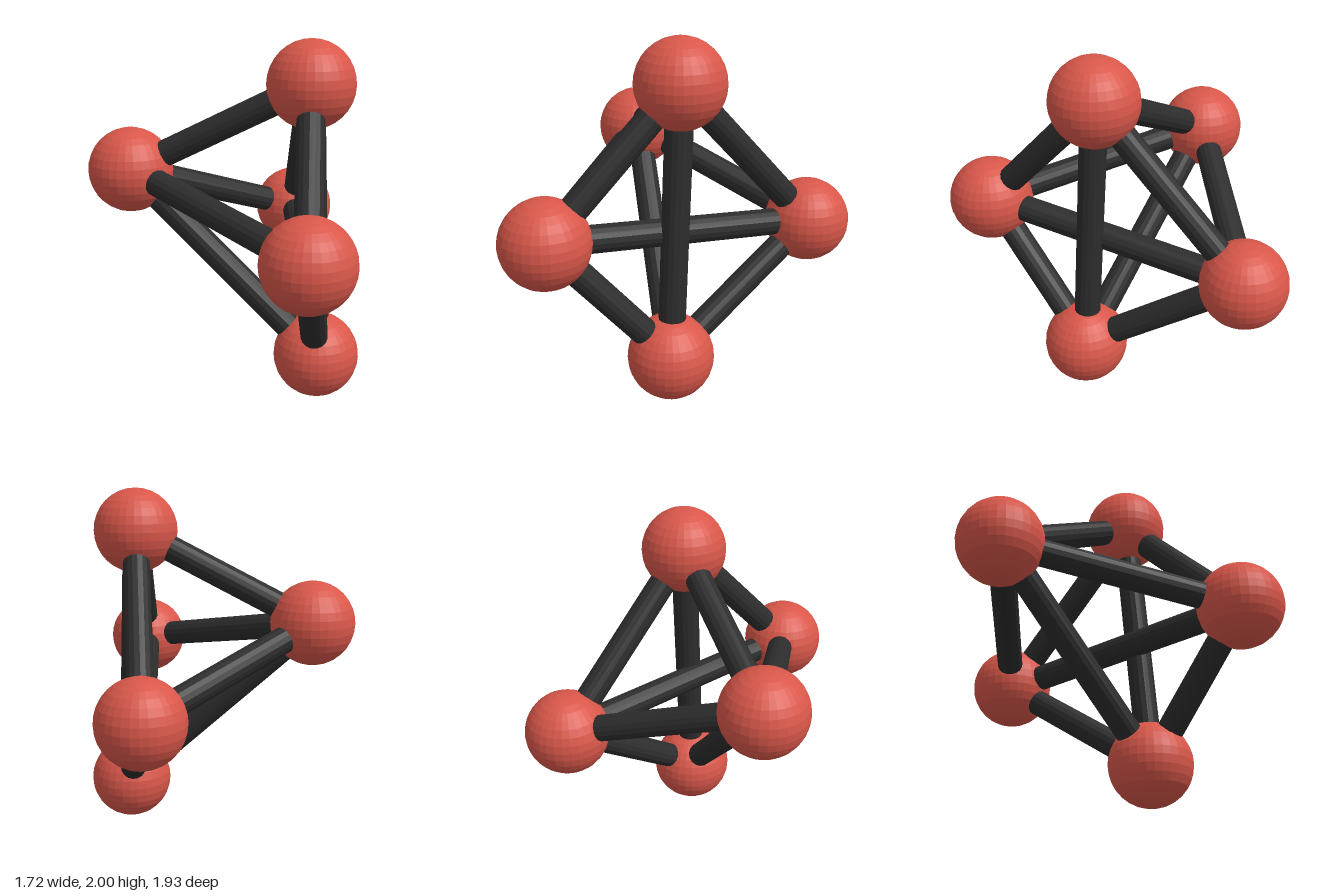
import * as THREE from 'three';

export function createModel() {
  const group = new THREE.Group();
  const red = new THREE.MeshStandardMaterial({ color: 0xd9574a, flatShading: true });
  red.name = 'coral red';
  const black = new THREE.MeshStandardMaterial({ color: 0x2d2d2d, flatShading: true });
  black.name = 'charcoal';

  // Ball centres
  const nodes = {
    top: new THREE.Vector3(0.38, 1.76, 0.03),
    right: new THREE.Vector3(-0.62, 1.25, 0.23),
    frontLeft: new THREE.Vector3(0.615, 1.01, 0.727),
    bottom: new THREE.Vector3(0.46, 0.24, 0.09),
    back: new THREE.Vector3(0.025, 0.86, -0.727),
  };
  const names = Object.keys(nodes);

  // Balls at the corners
  const ballGeometry = new THREE.SphereGeometry(0.24, 32, 16);
  for (const name of names) {
    const ball = new THREE.Mesh(ballGeometry, red);
    ball.name = `${name}Ball`;
    ball.position.copy(nodes[name]);
    group.add(ball);
  }

  // A rod between every pair of balls
  const up = new THREE.Vector3(0, 1, 0);
  names.forEach((a, i) => {
    for (const b of names.slice(i + 1)) {
      const span = nodes[b].clone().sub(nodes[a]);
      const rod = new THREE.Mesh(new THREE.CylinderGeometry(0.075, 0.075, span.length(), 16), black);
      rod.name = `${a}To${b[0].toUpperCase()}${b.slice(1)}Rod`;
      rod.position.copy(nodes[a]).addScaledVector(span, 0.5);
      rod.quaternion.setFromUnitVectors(up, span.normalize());
      group.add(rod);
    }
  });

  return group;
}
